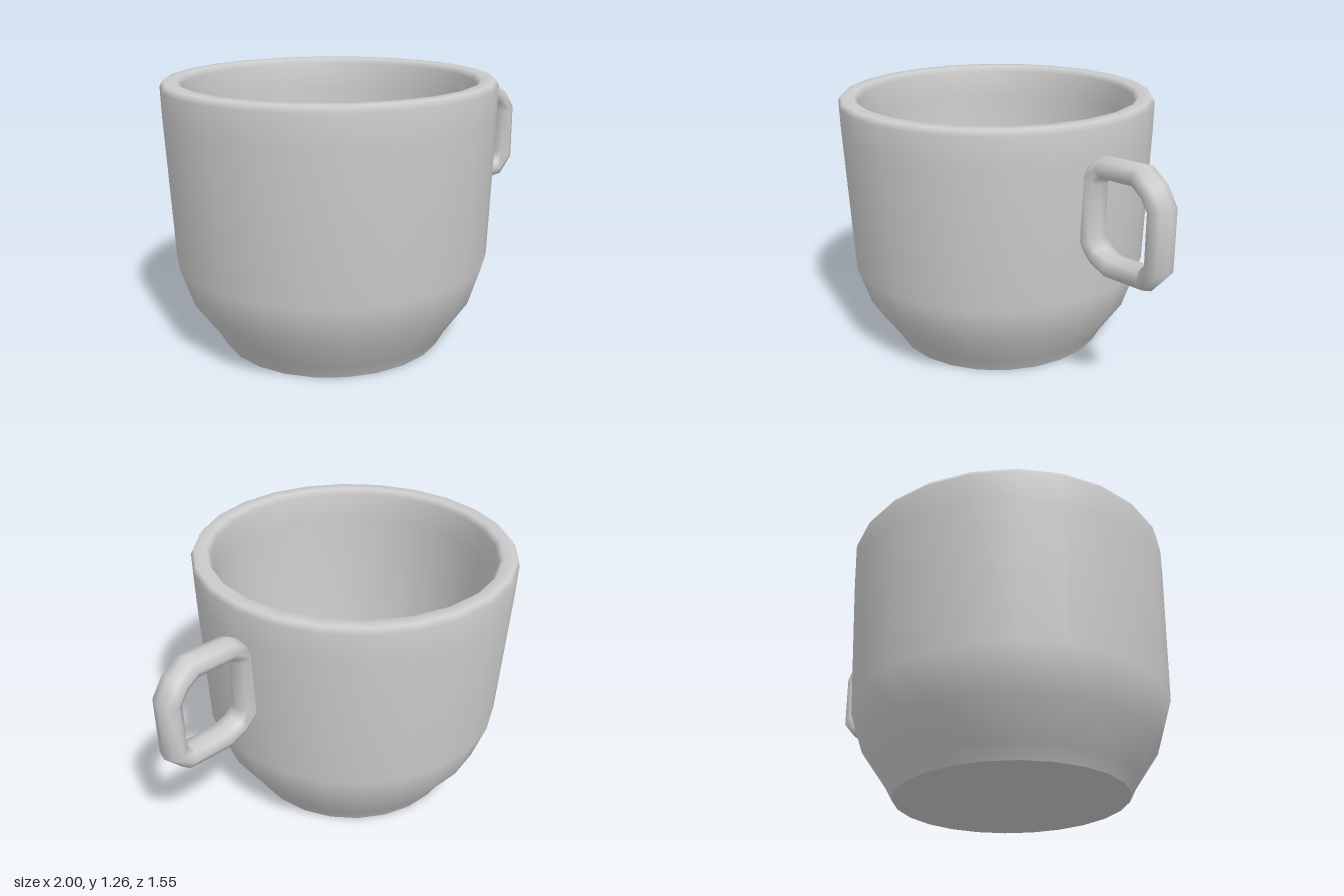
import * as THREE from 'three';

const SEGMENTS = 24;
const CUP_X = -0.2275;

function lathe(points, material, name) {
  const geometry = new THREE.LatheGeometry(points.map(([r, y]) => new THREE.Vector2(r, y)), SEGMENTS);
  const mesh = new THREE.Mesh(geometry, material);
  mesh.name = name;
  mesh.position.x = CUP_X;
  return mesh;
}

// Closed loop in the XY plane swept with an eight-sided oval section
function loopTube(path, halfWidth, halfDepth, sides) {
  const positions = [], index = [];
  const n = path.length;
  const points = path.map(([x, y]) => new THREE.Vector2(x, y));
  points.forEach((p, i) => {
    const before = p.clone().sub(points[(i + n - 1) % n]).normalize();
    const after = points[(i + 1) % n].clone().sub(p).normalize();
    const tangent = before.clone().add(after).normalize();
    const miter = halfWidth / tangent.dot(after);
    // the path runs clockwise, so this normal points out of the loop
    const nx = -tangent.y, ny = tangent.x;
    for (let j = 0; j < sides; j++) {
      const a = (j / sides) * Math.PI * 2;
      const offset = Math.cos(a) * miter;
      positions.push(p.x + nx * offset, p.y + ny * offset, Math.sin(a) * halfDepth);
      const k = (j + 1) % sides, next = (i + 1) % n;
      const A = i * sides + j, B = next * sides + j, C = next * sides + k, D = i * sides + k;
      index.push(A, D, B, B, D, C);
    }
  });
  const geometry = new THREE.BufferGeometry();
  geometry.setAttribute('position', new THREE.Float32BufferAttribute(positions, 3));
  geometry.setIndex(index);
  geometry.computeVertexNormals();
  return geometry;
}

export function createModel() {
  const group = new THREE.Group();
  group.name = 'cup';
  const ceramic = new THREE.MeshStandardMaterial({ color: 0xcccccc });
  ceramic.name = 'light grey ceramic';

  // Outer wall, rounded rim and bowl-shaped inside in one profile
  group.add(lathe([
    [0.54, 0], [0.575, 0.065], [0.688, 0.23], [0.748, 0.42], [0.773, 1.1],
    [0.775, 1.235], [0.76, 1.262], [0.7, 1.262], [0.68, 1.235],
    [0.672, 1.1], [0.65, 0.45], [0.59, 0.27], [0.48, 0.14], [0.3, 0.09], [0, 0.08],
  ], ceramic, 'body'));

  // Flat underside
  group.add(lathe([[0, 0], [0.54, 0]], ceramic, 'base'));

  // Rounded square handle, clockwise from the upper wall joint
  const handle = new THREE.Mesh(loopTube([
    [0.525, 1.02], [0.61, 1.077], [0.825, 1.095], [0.898, 1.05], [0.948, 0.98],
    [0.948, 0.725], [0.888, 0.66], [0.675, 0.64], [0.59, 0.665], [0.525, 0.72],
  ], 0.052, 0.069, 8), ceramic);
  handle.name = 'handle';
  group.add(handle);

  return group;
}
